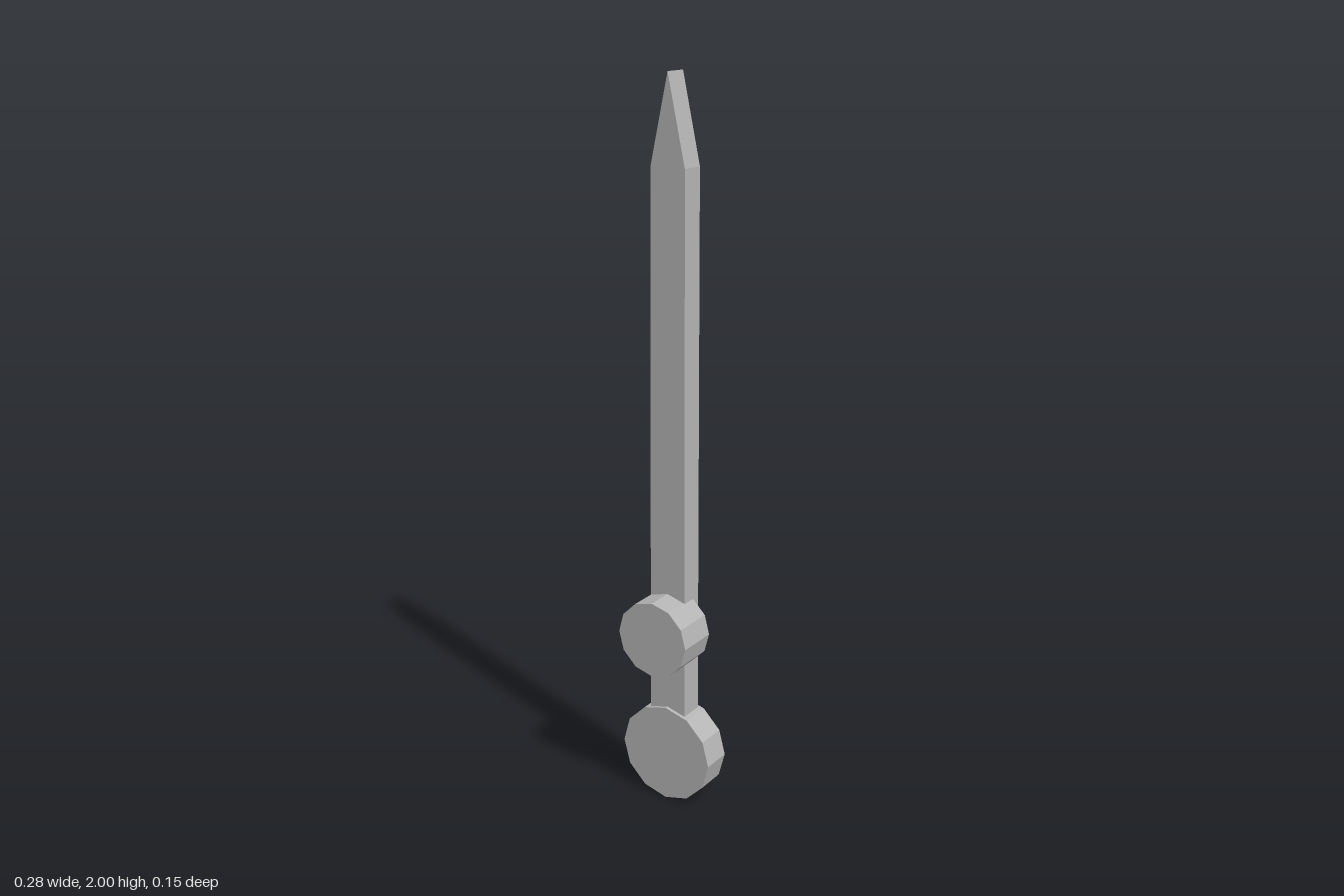
import * as THREE from 'three';

export function createModel() {
  const group = new THREE.Group();
  const grey = new THREE.MeshStandardMaterial({ color: 0xb4b4b4 });
  grey.name = 'grey metal';

  const add = (name, geometry) => {
    const flat = geometry.index ? geometry.toNonIndexed() : geometry;
    flat.computeVertexNormals();
    const mesh = new THREE.Mesh(flat, grey);
    mesh.name = name;
    group.add(mesh);
  };

  // Twelve-sided disc facing +z, spanning zBack to zFront
  const disc = (name, radius, y, zBack, zFront) => {
    const g = new THREE.CylinderGeometry(radius, radius, zFront - zBack, 12);
    g.rotateX(Math.PI / 2);
    g.translate(0, y, (zFront + zBack) / 2);
    add(name, g);
  };

  // Slightly tapering pointer with a sharp tip
  const outline = new THREE.Shape([
    [-0.057, 0.142], [0.057, 0.142], [0.051, 1.77], [0, 2], [-0.051, 1.77],
  ].map(([x, y]) => new THREE.Vector2(x, y)));
  const blade = new THREE.ExtrudeGeometry(outline, { depth: 0.068, bevelEnabled: false });
  blade.translate(0, 0, -0.068);
  add('pointer', blade);

  // Pivot standing proud of the front, and the round counterweight at the foot
  disc('pivot', 0.108, 0.518, -0.042, 0.076);
  disc('counterweight', 0.142, 0.142, -0.077, 0.01);

  return group;
}
